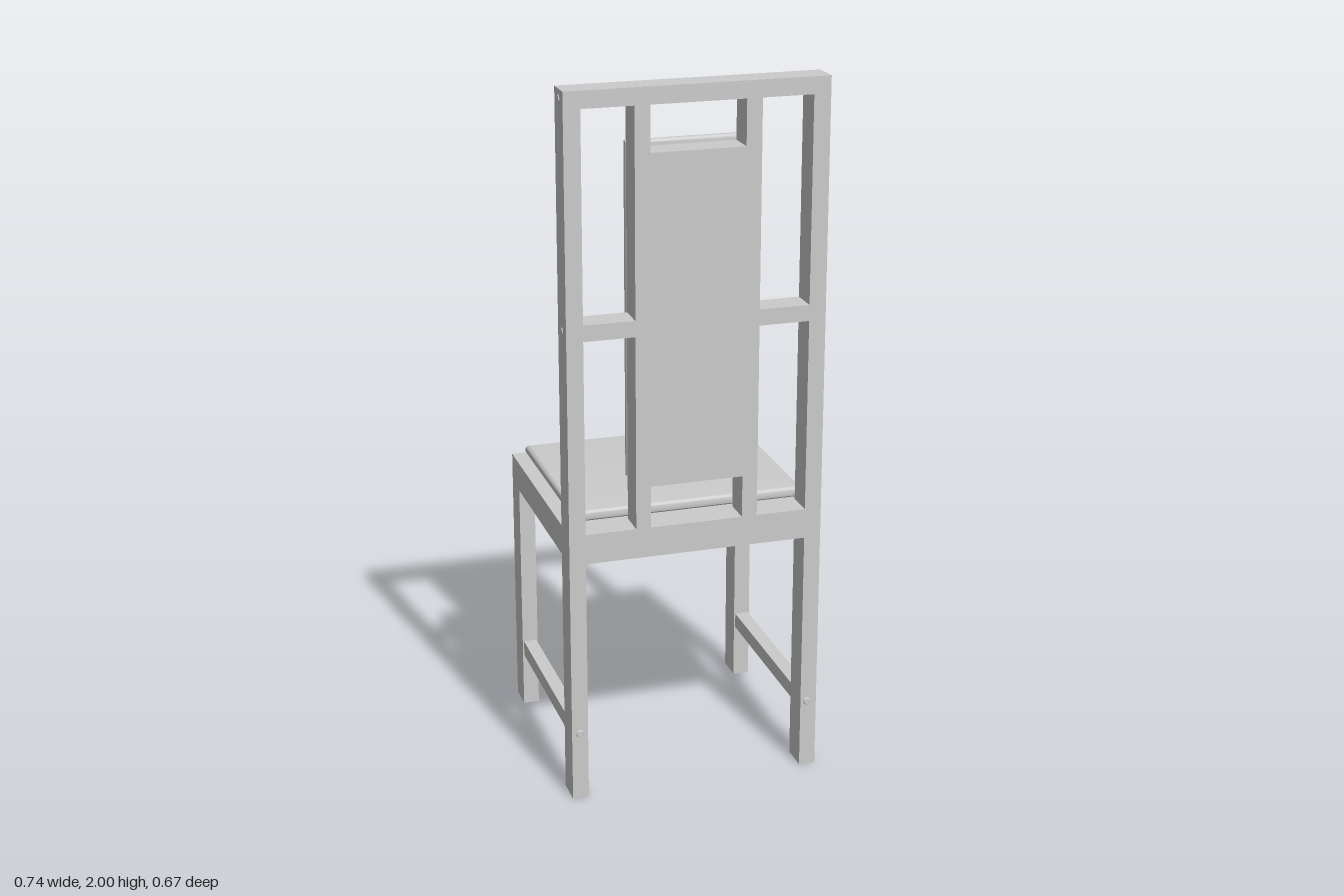
import * as THREE from 'three';
import { toCreasedNormals } from 'three/addons/utils/BufferGeometryUtils.js';

const material = new THREE.MeshStandardMaterial({ color: 0xcccccc });

export function createModel() {
  const chair = new THREE.Group();

  const add = (name, geometry) => {
    const mesh = new THREE.Mesh(geometry, material);
    mesh.name = name;
    chair.add(mesh);
    return mesh;
  };

  // Box given by its limits on each axis
  const box = (name, x0, x1, y0, y1, z0, z1) =>
    add(name, new THREE.BoxGeometry(x1 - x0, y1 - y0, z1 - z0))
      .position.set((x0 + x1) / 2, (y0 + y1) / 2, (z0 + z1) / 2);

  const rectangle = (PathType, x0, x1, y0, y1) => new PathType([
    new THREE.Vector2(x0, y0), new THREE.Vector2(x1, y0),
    new THREE.Vector2(x1, y1), new THREE.Vector2(x0, y1),
  ]);

  // Flat cushion with half-round edges and mitred corners, centred on the origin in z
  const cushion = (x0, x1, y0, y1, thickness) => {
    const r = thickness * 0.47;
    const depth = thickness - 2 * r;
    const geometry = new THREE.ExtrudeGeometry(rectangle(THREE.Shape, x0, x1, y0, y1), {
      depth, bevelThickness: r, bevelSize: r, bevelOffset: -r, bevelSegments: 6,
    });
    geometry.translate(0, 0, -depth / 2);
    return toCreasedNormals(geometry, 0.6);
  };

  // Back frame: posts, rails, slats and centre panel in one pierced board
  const outline = new THREE.Shape([
    [-0.366, 0], [-0.32, 0], [-0.32, 0.708], [0.308, 0.708],
    [0.308, 0], [0.355, 0], [0.355, 2], [-0.366, 2],
  ].map(([x, y]) => new THREE.Vector2(x, y)));
  for (const [x0, x1] of [[-0.32, -0.178], [0.167, 0.308]]) {
    outline.holes.push(rectangle(THREE.Path, x0, x1, 0.793, 1.338));
    outline.holes.push(rectangle(THREE.Path, x0, x1, 1.383, 1.953));
  }
  for (const [y0, y1] of [[0.793, 0.912], [1.828, 1.953]]) {
    outline.holes.push(rectangle(THREE.Path, -0.136, 0.124, y0, y1));
  }
  add('backFrame', new THREE.ExtrudeGeometry(outline, { depth: 0.081, bevelEnabled: false }))
    .position.z = 0.249;

  // Seat board on a hollow apron
  box('seatBoard', -0.364, 0.354, 0.763, 0.793, -0.33, 0.25);
  box('frontApron', -0.364, 0.354, 0.708, 0.763, -0.33, -0.31);
  box('sideApron', -0.364, -0.344, 0.708, 0.763, -0.31, 0.25);
  box('sideApron', 0.334, 0.354, 0.708, 0.763, -0.31, 0.25);

  // Front legs and side stretchers
  for (const [x0, x1] of [[-0.364, -0.318], [0.306, 0.354]]) {
    box('frontLeg', x0, x1, 0.015, 0.765, -0.33, -0.25);
    box('sideStretcher', x0 + 0.004, x1 - 0.004, 0.175, 0.22, -0.25, 0.25);
  }

  // Seat cushion and back pad
  const seat = add('seatCushion', cushion(-0.328, 0.32, -0.243, 0.312, 0.032));
  seat.rotation.x = -Math.PI / 2;
  seat.position.y = 0.809;
  add('backPad', cushion(-0.178, 0.171, 0.913, 1.843, 0.025)).position.z = 0.229;

  // Peg caps on the legs and on the outside of the back posts
  const peg = (axis, turn, x, y, z) => {
    const mesh = add('pegCap', new THREE.CylinderGeometry(0.009, 0.012, 0.005, 16));
    mesh.rotation[axis] = turn * Math.PI / 2;
    mesh.position.set(x, y, z);
  };
  for (const side of [-1, 1]) {
    for (const x of [-0.343, 0.328]) peg('x', side, x, 0.2, side * 0.331);
    for (const y of [1.36, 1.975]) peg('z', -side, side < 0 ? -0.366 : 0.365, y, 0.289);
  }

  return chair;
}
